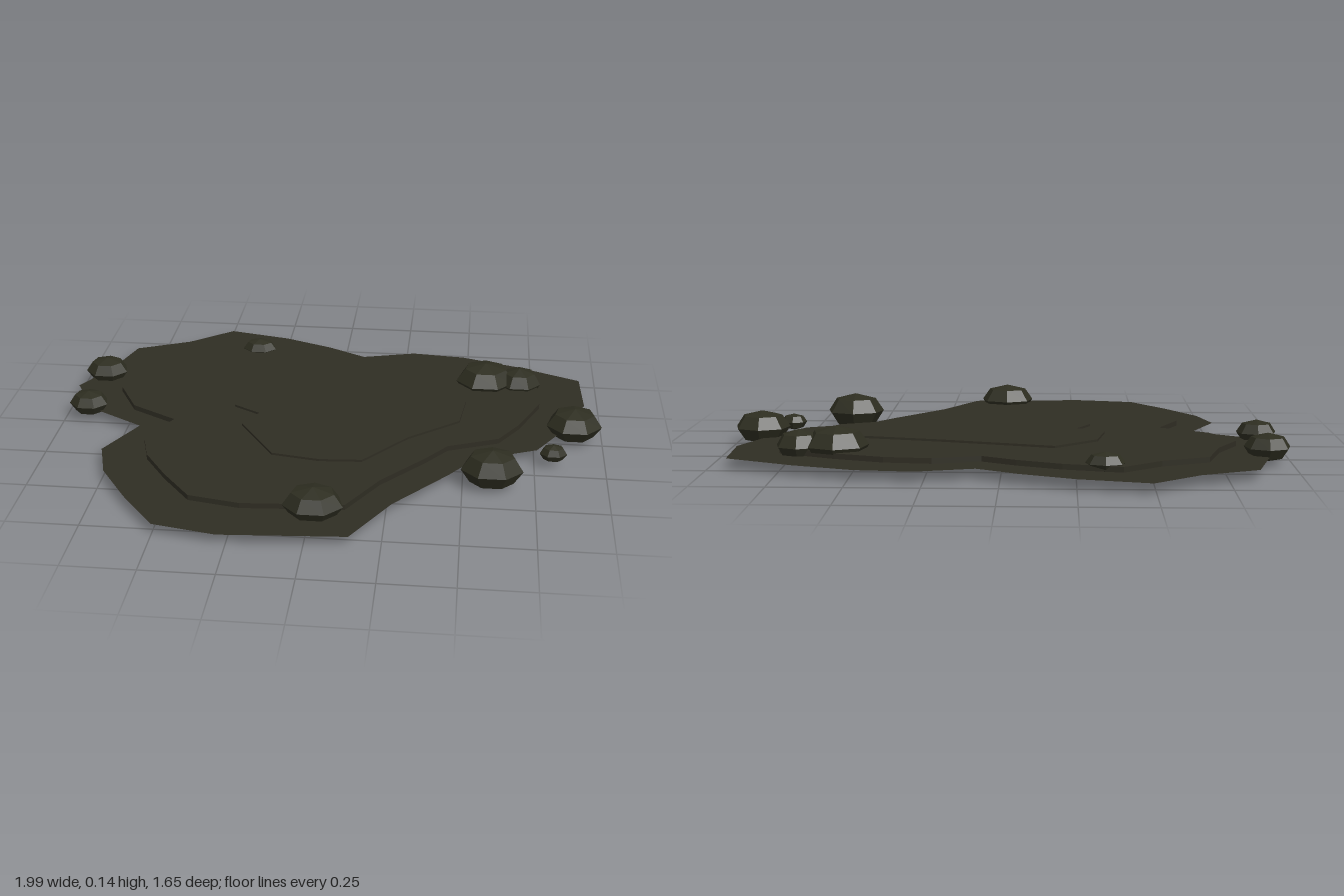
import * as THREE from 'three';

const mud = new THREE.MeshStandardMaterial({ name: 'mud', color: 0x2f2d23, flatShading: true });
const sheetMud = new THREE.MeshStandardMaterial({ name: 'sheetMud', color: 0x2f2d23, flatShading: true, side: THREE.DoubleSide });
const stone = new THREE.MeshStandardMaterial({ name: 'stone', color: 0x2d2d20, flatShading: true });

// Ragged outlines as [x, z]
const outline = [
  [-0.49, -0.83], [-0.25, -0.775], [-0.065, -0.70], [0.08, -0.62], [0.28, -0.675], [0.48, -0.655],
  [0.69, -0.585], [0.935, -0.475], [0.945, -0.25], [0.85, -0.02], [0.76, 0.13], [0.54, 0.225],
  [0.45, 0.35], [0.27, 0.57], [0.145, 0.795], [-0.28, 0.825], [-0.5, 0.78], [-0.63, 0.61],
  [-0.74, 0.44], [-0.785, 0.28], [-0.69, 0.085], [-0.9, -0.04], [-1, -0.235], [-0.91, -0.4],
  [-0.85, -0.61], [-0.65, -0.70],
];
const middleOutline = outline.map(([x, z]) => [x * 0.82, z * 0.8 - 0.01]);
const centreOutline = [
  [-0.17, 0.3], [-0.31, 0.08], [-0.26, -0.01], [-0.36, -0.07], [-0.33, -0.23], [-0.18, -0.36],
  [0.04, -0.3], [0.23, -0.25], [0.5, -0.19], [0.48, -0.02], [0.3, 0.13], [0.15, 0.32], [0, 0.33],
];

const toShape = (pts) => new THREE.Shape(pts.map(([x, z]) => new THREE.Vector2(x, -z)));

// Flat raised layer with upright sides
function layer(name, pts, bottom, top) {
  const geo = new THREE.ExtrudeGeometry(toShape(pts), { depth: top - bottom, bevelEnabled: false });
  geo.rotateX(-Math.PI / 2);
  const mesh = new THREE.Mesh(geo, mud);
  mesh.name = name;
  mesh.position.y = bottom;
  return mesh;
}

export function createModel() {
  const group = new THREE.Group();
  group.name = 'mudPatch';

  // Paper-thin ground sheet
  const sheet = new THREE.Mesh(new THREE.ShapeGeometry(toShape(outline)).rotateX(-Math.PI / 2), sheetMud);
  sheet.name = 'groundSheet';
  sheet.position.y = 0.038;
  group.add(sheet);

  // Stepped layers
  group.add(layer('middleLayer', middleOutline, 0.039, 0.058));
  group.add(layer('centreLayer', centreOutline, 0.05, 0.066));

  // Squashed seven-sided stones: x, y, z, radius x, radius y, radius z
  const stones = [
    [-0.91, 0.063, -0.34, 0.082, 0.05, 0.074],
    [-0.91, 0.062, -0.045, 0.073, 0.046, 0.064],
    [-0.345, 0.06, -0.62, 0.068, 0.038, 0.05],
    [0.57, 0.07, -0.385, 0.113, 0.068, 0.102],
    [0.70, 0.066, -0.38, 0.083, 0.058, 0.074],
    [0.895, 0.069, -0.03, 0.102, 0.061, 0.092],
    [0.815, 0.053, 0.175, 0.049, 0.031, 0.038],
    [0.6, 0.069, 0.34, 0.11, 0.069, 0.09],
    [0.015, 0.069, 0.645, 0.104, 0.061, 0.088],
  ];
  const pebble = new THREE.SphereGeometry(1, 7, 4).rotateY(-Math.PI / 2);
  stones.forEach(([x, y, z, rx, ry, rz], i) => {
    const mesh = new THREE.Mesh(pebble, stone);
    mesh.name = `stone${i + 1}`;
    mesh.position.set(x, y, z);
    mesh.scale.set(rx, ry, rz);
    group.add(mesh);
  });
  return group;
}
